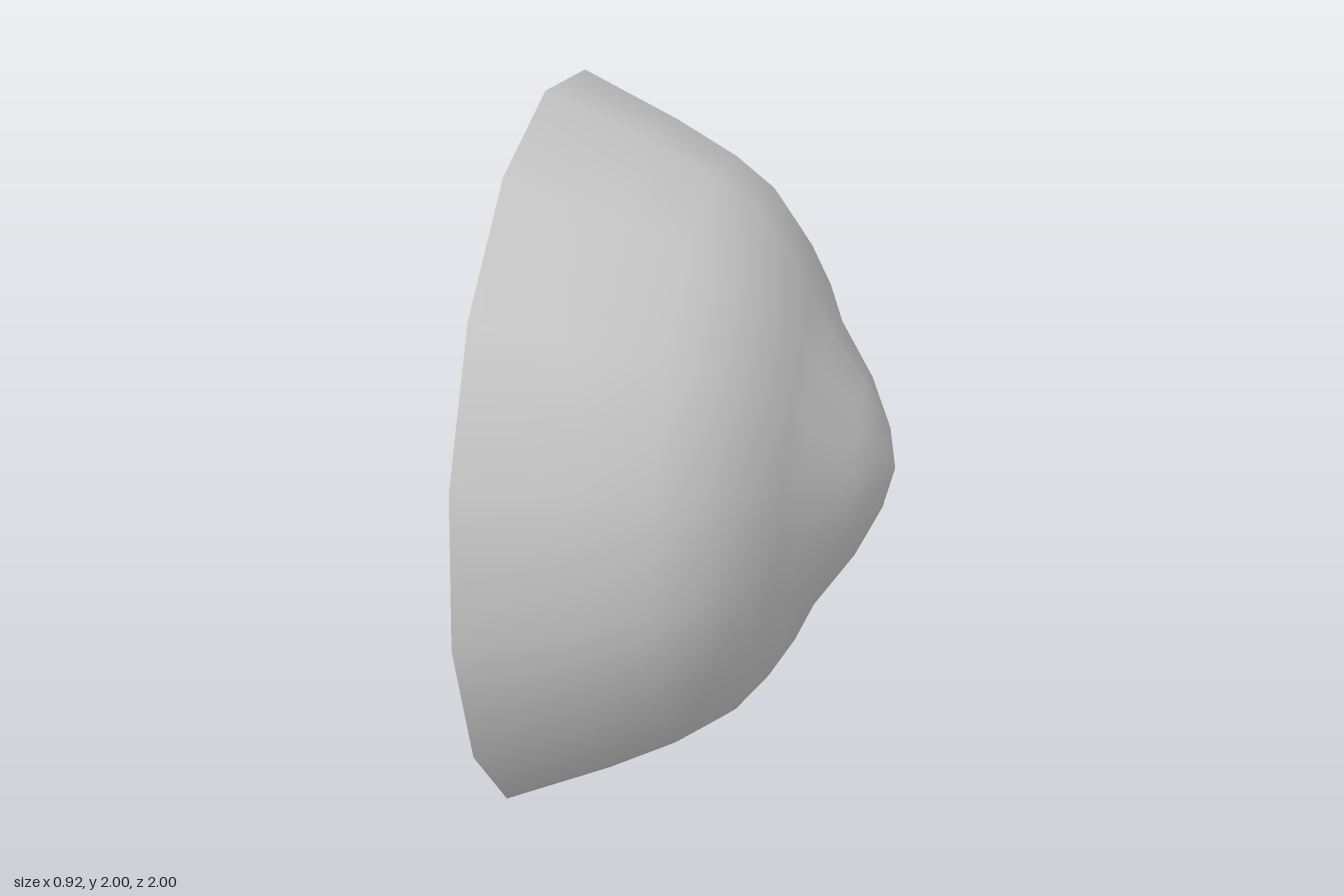
import * as THREE from 'three';

export function createModel() {
  const group = new THREE.Group();
  const material = new THREE.MeshStandardMaterial({ color: 0xcccccc, side: THREE.DoubleSide });

  // Profile as [radius, distance along the axis], from the open rim to the tip
  const profile = [
    [1, -0.463], [0.885, -0.2], [0.8, -0.035], [0.722, 0.075], [0.615, 0.16],
    [0.505, 0.225], [0.4, 0.27], [0.25, 0.37], [0.11, 0.435], [0, 0.46],
  ].map(([r, a]) => new THREE.Vector2(r, a));

  // Thin open bowl with a pointed cap, turned so its axis lies along x
  const geometry = new THREE.LatheGeometry(profile, 16);
  geometry.rotateZ(-Math.PI / 2);
  geometry.translate(0, 1, 0);

  const shell = new THREE.Mesh(geometry, material);
  shell.name = 'bowlShell';
  group.add(shell);
  return group;
}
